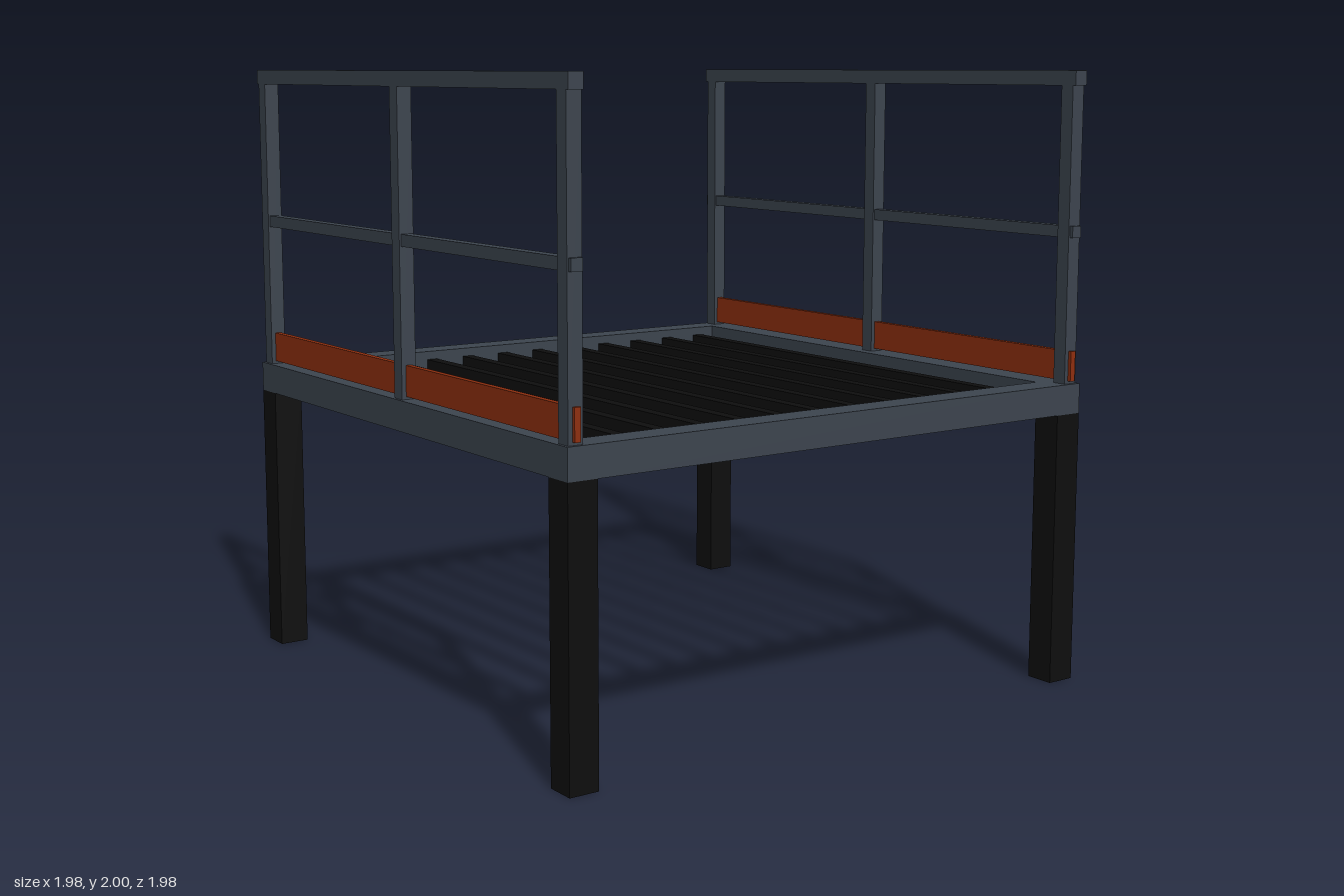
import * as THREE from 'three';

const material = (name, color) => {
  const m = new THREE.MeshStandardMaterial({ color });
  m.name = name;
  return m;
};

export function createModel() {
  const steel = material('slate steel', 0x3d454f);
  const black = material('black', 0x0e0e0e);
  const orange = material('rust orange', 0x902f0f);

  const model = new THREE.Group();
  model.name = 'platform';

  const box = (parent, name, mat, w, h, d, x, y, z) => {
    const mesh = new THREE.Mesh(new THREE.BoxGeometry(w, h, d), mat);
    mesh.name = name;
    mesh.position.set(x, y, z);
    parent.add(mesh);
  };

  const half = 0.988;             // half the platform width
  const beam = 0.098;             // beam and leg thickness
  const inner = half - beam;
  const edge = half - beam / 2;   // centre line of beams and legs
  const legH = 0.894;
  const deckY = legH + beam / 2;

  // Legs and deck frame
  for (const s of [-1, 1]) {
    for (const t of [-1, 1]) box(model, 'leg', black, beam, legH, beam, s * edge, legH / 2, t * edge);
    box(model, 'crossBeam', steel, half * 2, beam, beam, 0, deckY, s * edge);
    box(model, 'sideBeam', steel, beam, beam, inner * 2, s * edge, deckY, 0);
  }

  // Deck slats between the side beams
  const slats = 12;
  for (let i = 0; i < slats; i++) {
    const z = (i - (slats - 1) / 2) * 0.1485;
    box(model, 'slat', black, inner * 2, 0.04, 0.04, 0, deckY, z);
  }

  // Guard rails along the front and back
  for (const s of [-1, 1]) {
    const rail = new THREE.Group();
    rail.name = s > 0 ? 'frontGuardRail' : 'backGuardRail';
    rail.position.z = s * 0.954;
    model.add(rail);
    const postBase = legH + beam;
    const postTop = 1.953;
    for (const x of [-0.952, 0, 0.952])
      box(rail, 'post', steel, 0.049, postTop - postBase, 0.049, x, (postTop + postBase) / 2, 0);
    box(rail, 'topRail', steel, half * 2, 0.048, 0.049, 0, 1.976, 0);
    box(rail, 'midRail', steel, half * 2, 0.038, 0.038, 0, 1.486, 0);
    box(rail, 'toeBoard', orange, half * 2, 0.098, 0.02, 0, 1.05, 0);
  }

  return model;
}
